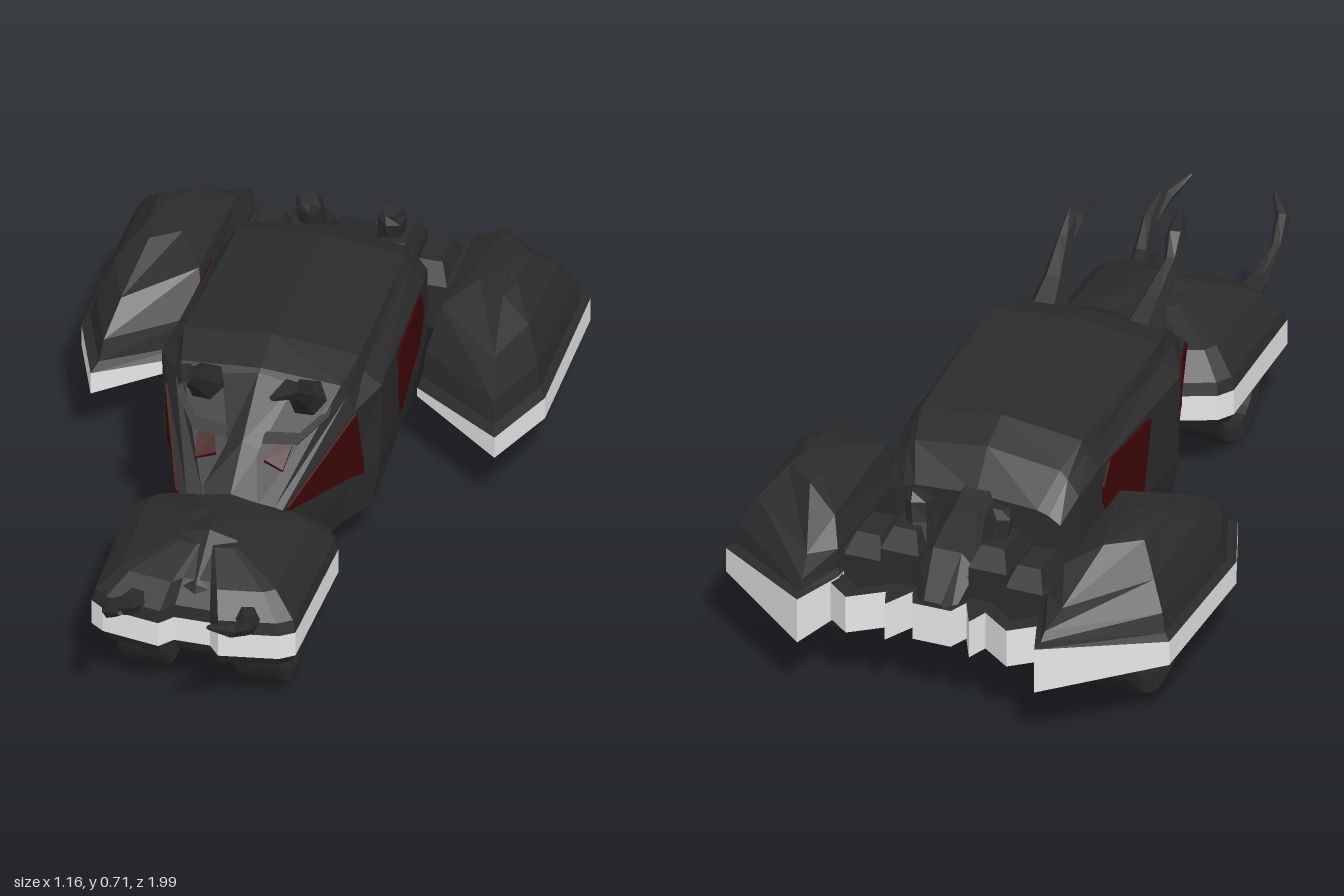
import * as THREE from 'three';

const dark = new THREE.MeshStandardMaterial({ color: 0x2b2b2b });
dark.name = 'dark bodywork';
const light = new THREE.MeshStandardMaterial({ color: 0xe6e6e6 });
light.name = 'pale trim';
const red = new THREE.MeshStandardMaterial({ color: 0x3e0606 });
red.name = 'red glass';
const rubber = new THREE.MeshStandardMaterial({ color: 0x262626 });
rubber.name = 'tyre rubber';

function add(parent, name, geometry, material) {
  const mesh = new THREE.Mesh(geometry, material);
  mesh.name = name;
  parent.add(mesh);
  return mesh;
}

// Closed flat-shaded loft through rings of [x, y, z]; bands listed in trimBands use material 1.
function loft(rings, trimBands = []) {
  const sets = [[], []];
  const n = rings[0].length;
  for (let i = 0; i < rings.length - 1; i++) {
    const out = sets[trimBands.includes(i) ? 1 : 0];
    for (let j = 0; j < n; j++) {
      const k = (j + 1) % n, a = rings[i][j], b = rings[i][k], c = rings[i + 1][k], d = rings[i + 1][j];
      out.push([a, b, c], [a, c, d]);
    }
  }
  const cap = (ring, flip) => {
    const mid = [0, 1, 2].map(q => ring.reduce((s, p) => s + p[q], 0) / n);
    for (let j = 0; j < n; j++) {
      const a = ring[j], b = ring[(j + 1) % n];
      sets[0].push(flip ? [mid, b, a] : [mid, a, b]);
    }
  };
  cap(rings[0], true);
  cap(rings[rings.length - 1], false);
  // Turn the faces outward by the sign of the enclosed volume
  const v = p => new THREE.Vector3(...p);
  let volume = 0;
  for (const [a, b, c] of sets.flat()) volume += v(a).dot(v(b).cross(v(c)));
  const tris = sets.flat().map(t => (volume < 0 ? [t[0], t[2], t[1]] : t));
  const geo = new THREE.BufferGeometry();
  geo.setAttribute('position', new THREE.Float32BufferAttribute(tris.flat(2), 3));
  geo.addGroup(0, sets[0].length * 3, 0);
  geo.addGroup(sets[0].length * 3, sets[1].length * 3, 1);
  geo.computeVertexNormals();
  return geo;
}

// Tapering horn along a path of [x, y, z, radius]
function horn(path, s) {
  const pts = path.map(p => new THREE.Vector3(p[0] * s, p[1], p[2]));
  return loft(pts.map((p, i) => {
    const t = pts[Math.min(i + 1, pts.length - 1)].clone().sub(pts[Math.max(i - 1, 0)]).normalize();
    const u = t.clone().cross(new THREE.Vector3(0, 1, 0)).normalize();
    const w = u.clone().cross(t);
    return [0, 1, 2, 3, 4, 5].map(k => {
      const a = k * Math.PI / 3, r = path[i][3];
      return p.clone().addScaledVector(u, Math.cos(a) * r).addScaledVector(w, Math.sin(a) * r).toArray();
    });
  }));
}

// Cabin sections: z, then half-profile [x, y] from sill to roof centre
const cabin = [
  [0.38, [0.12, 0.14], [0.13, 0.22], [0.13, 0.36], [0.11, 0.365], [0.07, 0.37], [0, 0.375]],
  [0.10, [0.20, 0.14], [0.22, 0.26], [0.235, 0.48], [0.215, 0.52], [0.20, 0.55], [0, 0.565]],
  [0.00, [0.25, 0.14], [0.27, 0.26], [0.275, 0.495], [0.23, 0.53], [0.22, 0.575], [0, 0.597]],
  [-0.46, [0.23, 0.145], [0.25, 0.26], [0.255, 0.48], [0.225, 0.525], [0.21, 0.55], [0, 0.575]],
  [-0.55, [0.22, 0.19], [0.24, 0.26], [0.24, 0.45], [0.21, 0.49], [0.19, 0.51], [0, 0.535]],
  [-0.62, [0.20, 0.19], [0.22, 0.26], [0.22, 0.40], [0.19, 0.42], [0.16, 0.43], [0, 0.44]],
];

// x of the cabin wall at a given z and y
function wallX(z, y) {
  let i = 0;
  while (i < cabin.length - 2 && z < cabin[i + 1][0]) i++;
  const t = (cabin[i][0] - z) / (cabin[i][0] - cabin[i + 1][0]);
  const mix = (k, q) => THREE.MathUtils.lerp(cabin[i][k][q], cabin[i + 1][k][q], t);
  return THREE.MathUtils.mapLinear(y, mix(2, 1), mix(3, 1), mix(2, 0), mix(3, 0));
}

// Thin glass on the cabin wall, given as columns [z, low y, high y]
function glass(columns, s) {
  return loft(columns.map(([z, lo, hi]) => [[lo, -0.003], [hi, -0.003], [hi, 0.006], [lo, 0.006]]
    .map(([y, o]) => [s * (wallX(z, y) + o), y, z])));
}

// Open ring tyre lying across x
function tyre(r, bore, half) {
  const profile = [[bore, -half * 0.85], [r * 0.95, -half], [r * 0.99, -half * 0.9], [r, -half * 0.75],
    [r, half * 0.75], [r * 0.99, half * 0.9], [r * 0.95, half], [bore, half * 0.85], [bore, -half * 0.85]]
    .map(p => new THREE.Vector2(...p));
  const geo = new THREE.LatheGeometry(profile, 28).rotateZ(Math.PI / 2).toNonIndexed();
  geo.computeVertexNormals();
  return geo;
}

export function createModel() {
  const car = new THREE.Group();
  car.name = 'car';

  // Cabin
  add(car, 'cabin', loft(cabin.map(([z, ...half]) => [
    ...half.map(([x, y]) => [x, y, z]),
    ...half.slice(0, -1).reverse().map(([x, y]) => [-x, y, z]),
  ])), [dark, light]);

  // Forehead and snout ridge running down onto the hood
  add(car, 'snout', loft([
    [0.12, 0.09, 0.48, 0.565], [0.27, 0.045, 0.40, 0.465], [0.38, 0.09, 0.30, 0.385],
    [0.57, 0.07, 0.28, 0.412], [0.70, 0.06, 0.265, 0.34], [0.72, 0.055, 0.262, 0.29],
  ].map(([z, w, lo, hi]) => [[-w, lo, z], [w, lo, z], [w, hi - 0.02, z], [0, hi, z], [-w, hi - 0.02, z]])), dark);
  add(car, 'chin', loft([[0.3, 0.09, 0.14], [0.55, 0.08, 0.11], [0.68, 0.06, 0.15]]
    .map(([z, w, lo]) => [[-w, lo, z], [w, lo, z], [w, 0.2, z], [-w, 0.2, z]])), dark);

  // Hood with pale bumper band
  const half = [[0.045, 0.735], [0.075, 0.77], [0.22, 0.745], [0.255, 0.72], [0.265, 0.36], [0.24, 0.32], [0.13, 0.27]];
  const plan = [...half, ...half.map(([x, z]) => [-x, z]).reverse()];
  const hoodLevels = [[0.21, 0.8], [0.16, 0.93], [0.19, 1], [0.258, 1], [0.29, 0.97], [0.345, 0.76], [0.39, 0.3]];
  add(car, 'hood', loft(hoodLevels.map(([y, s]) => plan.map(([x, z]) => [x * s, y, 0.54 + (z - 0.54) * s])), [2]),
    [dark, light]);

  // Rear fender outline: x, z, band bottom, band top, crown height factor
  const outline = [[0.31, -1, 0.16, 0.28, 0.4], [0.58, -0.8, 0.19, 0.255, 0.8], [0.58, -0.38, 0.19, 0.25, 0.9],
    [0.505, -0.19, 0.19, 0.25, 0.8], [0.265, -0.36, 0.21, 0.235, 1.05], [0.26, -0.86, 0.17, 0.28, 0.85]];
  // Rings shrink toward the inner side low down and drift outward near the crown
  const cx = 0.36, cz = -0.63;
  const fenderRing = (s, height) => outline.map(p =>
    [cx + 0.08 * (1 - s) ** 2 + (p[0] - cx) * s, height(p), cz + (p[1] - cz) * s]);
  const crown = t => p => p[3] + (0.46 - p[3]) * t * p[4];
  const fenderRings = [fenderRing(0.8, () => 0.27), fenderRing(0.9, p => p[2]), fenderRing(1, p => p[2]),
    fenderRing(1, p => p[3]), fenderRing(0.92, crown(0.08)), fenderRing(0.87, crown(0.38)),
    fenderRing(0.68, crown(0.8)), fenderRing(0.3, () => 0.45), fenderRing(0.08, () => 0.46)];

  for (const [side, s] of [['left', 1], ['right', -1]]) {
    const group = new THREE.Group();
    group.name = side + 'Side';
    car.add(group);

    add(group, 'rearFender', loft(fenderRings.map(r => r.map(([x, y, z]) => [x * s, y, z])), [2]), [dark, light]);
    add(group, 'rearTyre', tyre(0.19, 0.152, 0.08), rubber).position.set(0.4 * s, 0.19, -0.61);
    add(group, 'frontTyre', tyre(0.135, 0.106, 0.06), rubber).position.set(0.145 * s, 0.14, 0.55);

    // Windows and eye-like slits in the windscreen
    add(group, 'frontWindow', glass([[0.365, 0.35, 0.36], [0.1, 0.283, 0.475], [0.06, 0.27, 0.29]], s), red);
    add(group, 'rearWindow', glass([[-0.175, 0.46, 0.47], [-0.21, 0.27, 0.474], [-0.41, 0.33, 0.478],
      [-0.44, 0.38, 0.42]], s), red);
    add(group, 'eyeSlit', loft([0, 0.008].map(o => [[0.06, 0.43, 0.293], [0.11, 0.415, 0.305],
      [0.118, 0.452, 0.25], [0.075, 0.456, 0.25]].map(([x, y, z]) => [x * s, y + o, z]))), red);
    add(group, 'brow', loft([[0.045, 0.455, 0.25], [0.13, 0.46, 0.24], [0.19, 0.50, 0.16]].map(([x, y, z]) =>
      [[x * s, y - 0.03, z - 0.04], [x * s, y + 0.005, z + 0.01], [x * s, y + 0.02, z - 0.02]])), dark);

    // Horns on the roof and on the nose
    add(group, 'roofHorn', horn([[0.125, 0.51, 0.12, 0.055], [0.13, 0.57, 0.19, 0.034], [0.14, 0.64, 0.275, 0.02],
      [0.13, 0.68, 0.32, 0.026], [0.11, 0.706, 0.40, 0.008]], s), dark);
    add(group, 'noseHorn', horn([[0.13, 0.28, 0.70, 0.035], [0.155, 0.31, 0.79, 0.024], [0.168, 0.36, 0.87, 0.019],
      [0.15, 0.40, 0.94, 0.019], [0.11, 0.435, 0.99, 0.006]], s), dark);

    // Rear engine humps and stacks
    for (const [x, w, top] of [[0.115, 0.05, 0.41], [0.21, 0.05, 0.375]]) {
      add(group, 'engineHump', loft([[0.2, 1], [top - 0.05, 1], [top, 0.6]].map(([y, k]) =>
        [[-1, -1], [1, -1], [1, 1], [-1, 1]].map(([a, b]) => [s * (x + a * w * k), y, -0.74 + b * 0.085 * k]))), dark);
    }
    add(group, 'engineStack', horn([[0.095, 0.34, -0.75, 0.04], [0.10, 0.41, -0.735, 0.034],
      [0.105, 0.46, -0.725, 0.036], [0.105, 0.482, -0.72, 0.024]], s), dark);
  }

  // Rear engine block and the spine joining it to the cabin
  add(car, 'engineBlock', new THREE.BoxGeometry(0.54, 0.13, 0.16), dark).position.set(0, 0.265, -0.74);
  add(car, 'rearSpine', loft([[-0.58, 0.065, 0.46], [-0.70, 0.07, 0.42], [-0.80, 0.075, 0.38], [-0.895, 0.045, 0.285]]
    .map(([z, w, hi]) => [[-w, 0.19, z], [w, 0.19, z], [w, hi - 0.04, z], [w * 0.5, hi, z],
      [-w * 0.5, hi, z], [-w, hi - 0.04, z]])), dark);

  // Jagged rear bumper: dark faces above and below, pale edges
  const jag = [[0.29, -0.87], [0.21, -0.935], [0.13, -0.875], [0.11, -0.93], [0.07, -0.85], [0.05, -0.9]];
  const inner = [[0.05, -0.82], [0.115, -0.82], [0.20, -0.885], [0.28, -0.82]];
  const right = [...inner, ...jag];
  const loop = [...right, ...right.map(([x, z]) => [-x, z]).reverse()];
  const shape = new THREE.Shape(loop.map(([x, z]) => new THREE.Vector2(x, -z)));
  add(car, 'rearBumper', new THREE.ExtrudeGeometry(shape, { depth: 0.1, bevelEnabled: false })
    .rotateX(-Math.PI / 2).translate(0, 0.175, 0), [dark, light]);

  return car;
}
